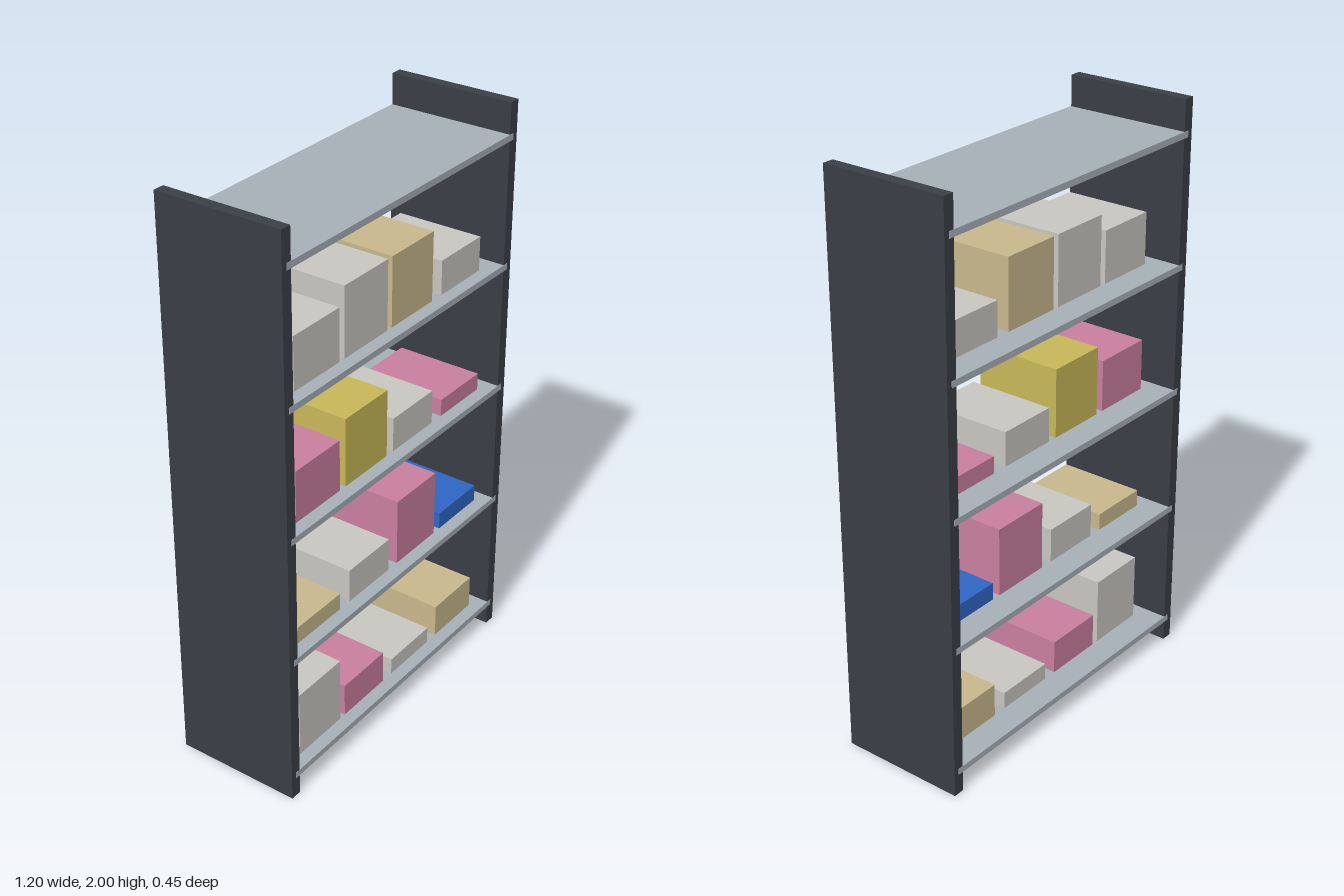
import * as THREE from 'three';

const paint = (name, color) => {
  const m = new THREE.MeshStandardMaterial({ color });
  m.name = name;
  return m;
};

export function createModel() {
  const group = new THREE.Group();
  group.name = 'stockedShelf';

  const dark = paint('charcoal', 0x3a3f46);
  const steel = paint('shelfGrey', 0xa8b0b8);
  const grey = paint('paleGrey', 0xc8c6c0);
  const tan = paint('tan', 0xc8b88c);
  const pink = paint('pink', 0xc97f9f);
  const yellow = paint('yellow', 0xc8b858);
  const blue = paint('blue', 0x2f66c4);

  const addBox = (name, material, size, position) => {
    const mesh = new THREE.Mesh(new THREE.BoxGeometry(...size), material);
    mesh.name = name;
    mesh.position.set(...position);
    group.add(mesh);
  };

  // Side panels
  for (const side of [-1, 1]) {
    addBox(side > 0 ? 'leftPanel' : 'rightPanel', dark, [0.04, 2, 0.448], [side * 0.58, 1, 0]);
  }

  // Goods on each shelf, bottom to top: [left edge x, height, colour]
  const rows = [
    [[-0.5, 0.24, grey], [-0.255, 0.12, pink], [0.015, 0.06, grey], [0.285, 0.12, tan]],
    [[-0.5, 0.06, tan], [-0.23, 0.12, grey], [0.037, 0.24, pink], [0.29, 0.06, blue]],
    [[-0.5, 0.18, pink], [-0.25, 0.24, yellow], [0.005, 0.12, grey], [0.28, 0.06, pink]],
    [[-0.5, 0.18, grey], [-0.255, 0.24, grey], [-0.012, 0.24, tan], [0.26, 0.12, grey]],
    [],
  ];
  const thickness = 0.022, width = 0.22, depth = 0.31;

  rows.forEach((goods, row) => {
    // Shelf board, let into the side panels
    const top = 0.094 + row * 0.45;
    addBox(`shelf${row + 1}`, steel, [1.16, thickness, 0.45], [0, top - thickness / 2, 0]);
    // Boxes standing on it
    goods.forEach(([x, height, material], i) => {
      addBox(`box${row + 1}_${i + 1}`, material, [width, height, depth],
        [x + width / 2, top + height / 2, 0.025]);
    });
  });

  return group;
}
